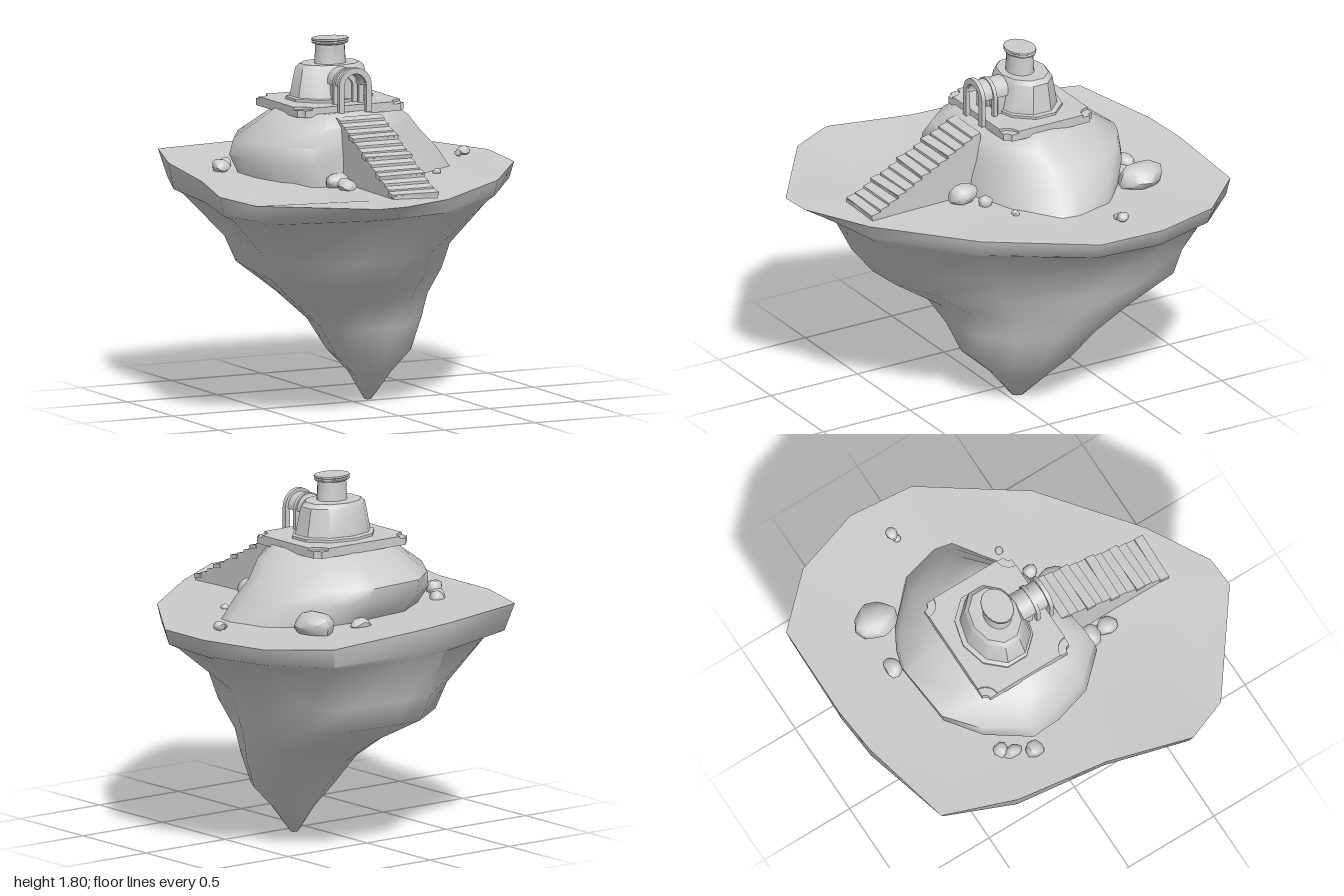
import * as THREE from 'three';
import { toCreasedNormals } from 'three/addons/utils/BufferGeometryUtils.js';

const material = new THREE.MeshStandardMaterial({ color: 0xcccccc, roughness: 0.9 });

function add(parent, name, geometry, crease = 0.7) {
  const mesh = new THREE.Mesh(toCreasedNormals(geometry, crease), material);
  mesh.name = name;
  parent.add(mesh);
  return mesh;
}

// Skin a stack of rings (bottom to top), each a loop of [x, y, z], with both ends capped.
function loft(rings) {
  const n = rings[0].length, pos = rings.flat(2), idx = [];
  for (let r = 0; r < rings.length - 1; r++) {
    for (let i = 0; i < n; i++) {
      const j = (i + 1) % n, a = r * n + i, b = r * n + j;
      idx.push(a, a + n, b, b, a + n, b + n);
    }
  }
  [0, rings.length - 1].forEach((r, top) => {
    const c = pos.length / 3, mid = [0, 0, 0];
    rings[r].forEach(p => p.forEach((v, k) => { mid[k] += v / n; }));
    pos.push(...mid);
    for (let i = 0; i < n; i++) {
      const a = r * n + i, b = r * n + (i + 1) % n;
      if (top) idx.push(c, b, a); else idx.push(c, a, b);
    }
  });
  const g = new THREE.BufferGeometry();
  g.setAttribute('position', new THREE.Float32BufferAttribute(pos, 3));
  g.setIndex(idx);
  return g;
}

// Fit an [x, z] outline into each level's box [y, xMin, xMax, zMin, zMax].
function levels(outline, list) {
  const xs = outline.map(p => p[0]), zs = outline.map(p => p[1]);
  const x0 = Math.min(...xs), x1 = Math.max(...xs), z0 = Math.min(...zs), z1 = Math.max(...zs);
  return list.map(([y, a, b, c, d]) => outline.map(([x, z]) => [
    a + (b - a) * (x - x0) / (x1 - x0), y, c + (d - c) * (z - z0) / (z1 - z0)]));
}

function polygon(n, turn = 0) {
  return Array.from({ length: n }, (_, i) => {
    const t = (i + turn) / n * Math.PI * 2;
    return [Math.cos(t), Math.sin(t)];
  });
}

function extrude(shape, depth) {
  return new THREE.ExtrudeGeometry(shape, { depth, bevelEnabled: false, curveSegments: 10 });
}

// Upright arch band: round top on straight legs, open below.
function archShape(outer, inner, spring, base) {
  const s = new THREE.Shape();
  s.moveTo(outer, base);
  s.lineTo(outer, spring);
  s.absarc(0, spring, outer, 0, Math.PI, false);
  s.lineTo(-outer, base);
  if (inner > 0) {
    s.lineTo(-inner, base);
    s.lineTo(-inner, spring);
    s.absarc(0, spring, inner, Math.PI, 0, true);
    s.lineTo(inner, base);
  }
  return s;
}

// Lumpy, slightly angular boulder.
function rock(parent, x, y, z, rx, ry, rz, seed) {
  const g = new THREE.IcosahedronGeometry(1, 1), p = g.attributes.position, v = new THREE.Vector3();
  for (let i = 0; i < p.count; i++) {
    v.fromBufferAttribute(p, i);
    const k = 1 + 0.1 * Math.sin(v.x * 3 + seed * 2.1) + 0.08 * Math.sin(v.y * 4 + v.z * 3 + seed * 1.3);
    p.setXYZ(i, v.x * k * rx, v.y * k * ry, v.z * k * rz);
  }
  g.deleteAttribute('uv');
  add(parent, 'rock', g, 0.8).position.set(x, y, z);
}

export function createModel() {
  const model = new THREE.Group();
  model.name = 'floatingIsland';

  // Island: pointed underside, overhanging rim, nearly flat ground
  const rim = [
    [-0.64, 1.19, -0.87], [-0.15, 1.18, -0.98], [0.1, 1.17, -1], [0.6, 1.145, -0.99], [0.84, 1.135, -0.74],
    [0.95, 1.14, -0.39], [0.92, 1.13, -0.05], [0.58, 1.13, 0.44], [0.12, 1.12, 0.81], [-0.2, 1.13, 0.99],
    [-0.36, 1.13, 1], [-0.86, 1.13, 0.63], [-0.95, 1.15, 0.41], [-0.83, 1.16, -0.02], [-0.77, 1.18, -0.5]];
  const under = [
    [-0.54, -0.74], [-0.15, -0.98], [0.1, -1], [0.6, -0.97], [0.87, -0.79], [0.95, -0.39], [0.92, -0.05],
    [0.64, 0.47], [0.24, 0.83], [-0.14, 0.98], [-0.46, 1], [-0.87, 0.74], [-0.95, 0.44], [-0.85, -0.02], [-0.74, -0.45]];
  const hull = levels(under, [
    [0, 0.09, 0.13, -0.08, -0.03], [0.14, 0, 0.25, -0.19, 0.08], [0.25, -0.13, 0.36, -0.27, 0.2],
    [0.4, -0.22, 0.44, -0.4, 0.26], [0.53, -0.36, 0.51, -0.58, 0.33], [0.67, -0.54, 0.58, -0.85, 0.56],
    [0.8, -0.61, 0.61, -0.9, 0.66]]);
  // the back left corner (first point) is undercut more than the rest
  const lip = rim.map(([x, , z], i) => [x * (i ? 0.91 : 0.86), 1.025, Math.min(z * (i ? 0.96 : 0.87), 0.77)]);
  const edge = rim.map(([x, , z], i) => [x * (i ? 0.97 : 0.95), 1.05, Math.min(z * (i ? 0.985 : 0.95), 0.86)]);
  // a shallow dip near the front right corner (point 11)
  const ground = rim.map(([x, y, z], i) => [x * 0.75, i === 11 ? 1.105 : 1.135 + (y - 1.135) * 0.5, z * 0.75]);
  add(model, 'island', loft([...hull, lip, edge, rim, ground]), 1.0);

  // Rounded rock mound under the tower
  const moundOutline = [
    [-0.39, -0.49], [-0.21, -0.62], [0.15, -0.65], [0.25, -0.62], [0.36, -0.56], [0.53, -0.39], [0.58, -0.17],
    [0.56, -0.07], [0.33, 0.11], [0.1, 0.2], [-0.31, 0.245], [-0.47, 0.08], [-0.53, -0.12], [-0.54, -0.28]];
  add(model, 'mound', loft(levels(moundOutline, [
    [1.1, -0.5, 0.6, -0.54, 0.235], [1.24, -0.55, 0.51, -0.63, 0.24], [1.32, -0.52, 0.43, -0.64, 0.23],
    [1.41, -0.42, 0.34, -0.5, 0.21], [1.47, -0.34, 0.26, -0.4, 0.12]])), 1.0);

  // Platform with scooped corners
  const platform = (w, d, r) => {
    const s = new THREE.Shape();
    s.moveTo(w - r, -d);
    s.absarc(w, -d, r, Math.PI, Math.PI / 2, true);
    s.lineTo(w, d - r);
    s.absarc(w, d, r, -Math.PI / 2, -Math.PI, true);
    s.lineTo(-w + r, d);
    s.absarc(-w, d, r, 0, -Math.PI / 2, true);
    s.lineTo(-w, -d + r);
    s.absarc(-w, -d, r, Math.PI / 2, 0, true);
    return s;
  };
  [[0.295, 0.255, 0.03, 1.455, 0.035], [0.295, 0.255, 0.07, 1.47, 0.032]].forEach(([w, d, r, y, h]) => {
    const mesh = add(model, 'platform', extrude(platform(w, d, r), h));
    mesh.rotation.x = -Math.PI / 2;
    mesh.position.set(-0.045, y, -0.165);
  });

  // Tapered ten-sided tower on a low plinth
  add(model, 'tower', loft(levels(polygon(10, 0.5), [
    [1.49, -0.255, 0.175, -0.36, 0], [1.515, -0.255, 0.175, -0.36, 0], [1.52, -0.24, 0.155, -0.335, -0.01],
    [1.66, -0.21, 0.13, -0.31, -0.045], [1.68, -0.19, 0.105, -0.295, -0.055]])), 0.6);

  // Oval chimney with a flared cap
  add(model, 'chimney', loft(levels(polygon(20), [[1.66, 0.084, 0.071], [1.69, 0.08, 0.067], [1.775, 0.075, 0.064],
    [1.78, 0.094, 0.072], [1.788, 0.096, 0.075], [1.793, 0.09, 0.07], [1.798, 0.098, 0.076], [1.805, 0.096, 0.074]]
    .map(([y, rx, rz]) => [y, -0.045 - rx, -0.045 + rx, -0.163 - rz, -0.163 + rz]))), 0.6);

  // Porch: arches carrying a barrel roof, with a doorway at the wall
  const porch = new THREE.Group();
  porch.name = 'porch';
  porch.position.x = -0.043;
  model.add(porch);
  const arch = (name, outer, inner, spring, base, z, depth) => {
    add(porch, name, extrude(archShape(outer, inner, spring, base), depth)).position.z = z;
  };
  arch('frontArch', 0.09, 0.06, 1.6, 1.465, 0.09, 0.022);
  arch('middleArch', 0.083, 0.058, 1.597, 1.5, 0.018, 0.02);
  arch('barrelRoof', 0.074, 0.058, 1.6, 1.595, -0.08, 0.18);
  arch('doorFrame', 0.065, 0.04, 1.585, 1.5, -0.04, 0.045);
  arch('door', 0.04, 0, 1.585, 1.5, -0.04, 0.03);

  // Stairway: solid stepped wedge with a few thicker slabs
  const steps = 13, zTop = 0.14, zEnd = 0.765, yTop = 1.455, yEnd = 1.135;
  const profile = new THREE.Shape();
  profile.moveTo(zTop, 1.1);
  for (let i = 0; i < steps; i++) {
    const y = yTop - (yTop - yEnd) * i / steps;
    profile.lineTo(zTop + (zEnd - zTop) * i / steps, y);
    profile.lineTo(zTop + (zEnd - zTop) * (i + 1) / steps, y - 0.012);
  }
  profile.lineTo(zEnd, 1.1);
  const stairs = add(model, 'stairs', extrude(profile, 0.245), 0.3);
  stairs.rotation.y = -Math.PI / 2;
  stairs.position.x = 0.08;
  for (const i of [3, 6, 9, 12]) {
    const slab = add(model, 'stairSlab', new THREE.BoxGeometry(0.256, 0.02, 0.05));
    slab.position.set(-0.043, yTop - (yTop - yEnd) * i / steps - 0.01, zTop + (zEnd - zTop) * (i + 0.5) / steps);
    slab.rotation.set(0.2, i % 2 ? 0.03 : -0.03, 0);
  }

  // Scattered rocks [x, y, z, radii]
  [[0.41, 1.175, -0.59, 0.1, 0.07, 0.115], [0.16, 1.15, -0.645, 0.05, 0.04, 0.045],
    [-0.5, 1.16, -0.43, 0.04, 0.035, 0.035], [-0.535, 1.16, -0.385, 0.035, 0.035, 0.045],
    [-0.585, 1.18, -0.29, 0.04, 0.04, 0.05], [0.75, 1.165, -0.275, 0.035, 0.025, 0.03],
    [0.72, 1.155, -0.265, 0.02, 0.015, 0.02], [0.4, 1.14, 0.13, 0.02, 0.018, 0.02],
    [-0.23, 1.155, 0.27, 0.06, 0.045, 0.05], [-0.22, 1.15, 0.365, 0.05, 0.035, 0.055],
    [0.13, 1.17, 0.27, 0.05, 0.06, 0.085], [0.22, 1.15, 0.2, 0.035, 0.035, 0.035]]
    .forEach((r, i) => rock(model, ...r, i + 1));

  return model;
}
